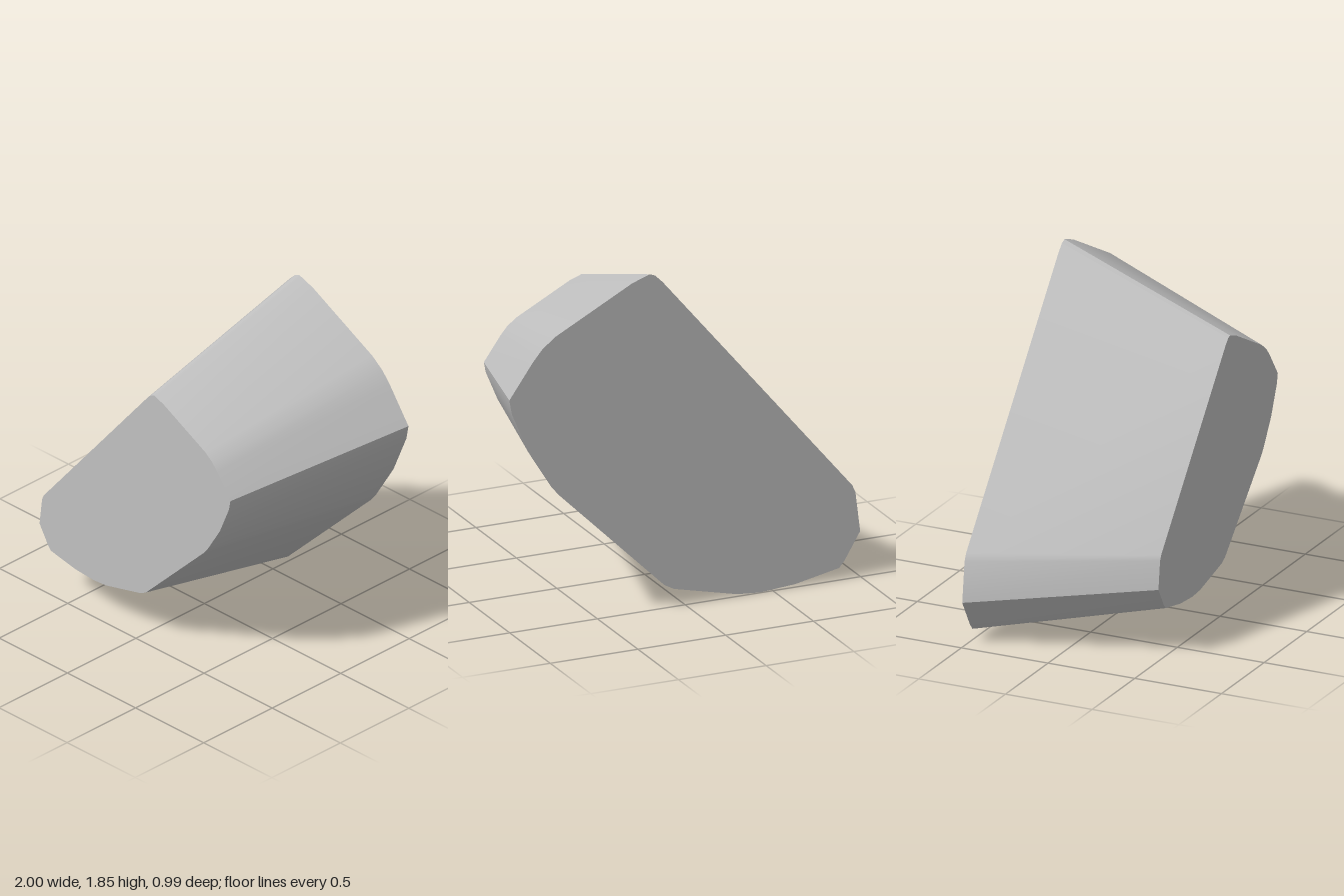
import * as THREE from 'three';
import { toCreasedNormals } from 'three/addons/utils/BufferGeometryUtils.js';

export function createModel() {
  const group = new THREE.Group();
  group.name = 'taperedBlock';
  const grey = new THREE.MeshStandardMaterial({ color: 0xc0c0c0 });
  grey.name = 'plain grey';

  // Outline of the wide back face, counterclockwise
  const outline = [
    [-0.43, 0], [-0.3, 0.01], [0.06, 0.095], [0.116, 0.125], [0.72, 0.717],
    [0.763, 0.77], [0.89, 0.975], [0.985, 1.2], [1, 1.28], [0.865, 1.47],
    [0.81, 1.535], [0.735, 1.592], [0.3, 1.818], [0.2, 1.853], [0.17, 1.842],
    [0.127, 1.8], [-0.955, 0.51], [-0.973, 0.47], [-1, 0.25], [-0.91, 0.1],
    [-0.88, 0.065], [-0.63, 0.015],
  ].map(([x, y]) => new THREE.Vector2(x, y));

  // Straight block whose front end shrinks to 70 percent
  const depth = 0.99, taper = 0.7;
  const geometry = new THREE.ExtrudeGeometry(new THREE.Shape(outline), {
    depth, bevelEnabled: false,
  });
  geometry.translate(0, 0, -depth / 2);
  const pos = geometry.attributes.position;
  for (let i = 0; i < pos.count; i++) {
    if (pos.getZ(i) > 0) {
      pos.setXY(i, pos.getX(i) * taper - 0.012, pos.getY(i) * taper + 0.215);
    }
  }
  geometry.clearGroups();

  // Soft shading over the small corner facets, sharp rims at both ends
  const block = new THREE.Mesh(toCreasedNormals(geometry, 0.3), grey);
  block.name = 'block';
  group.add(block);
  return group;
}
